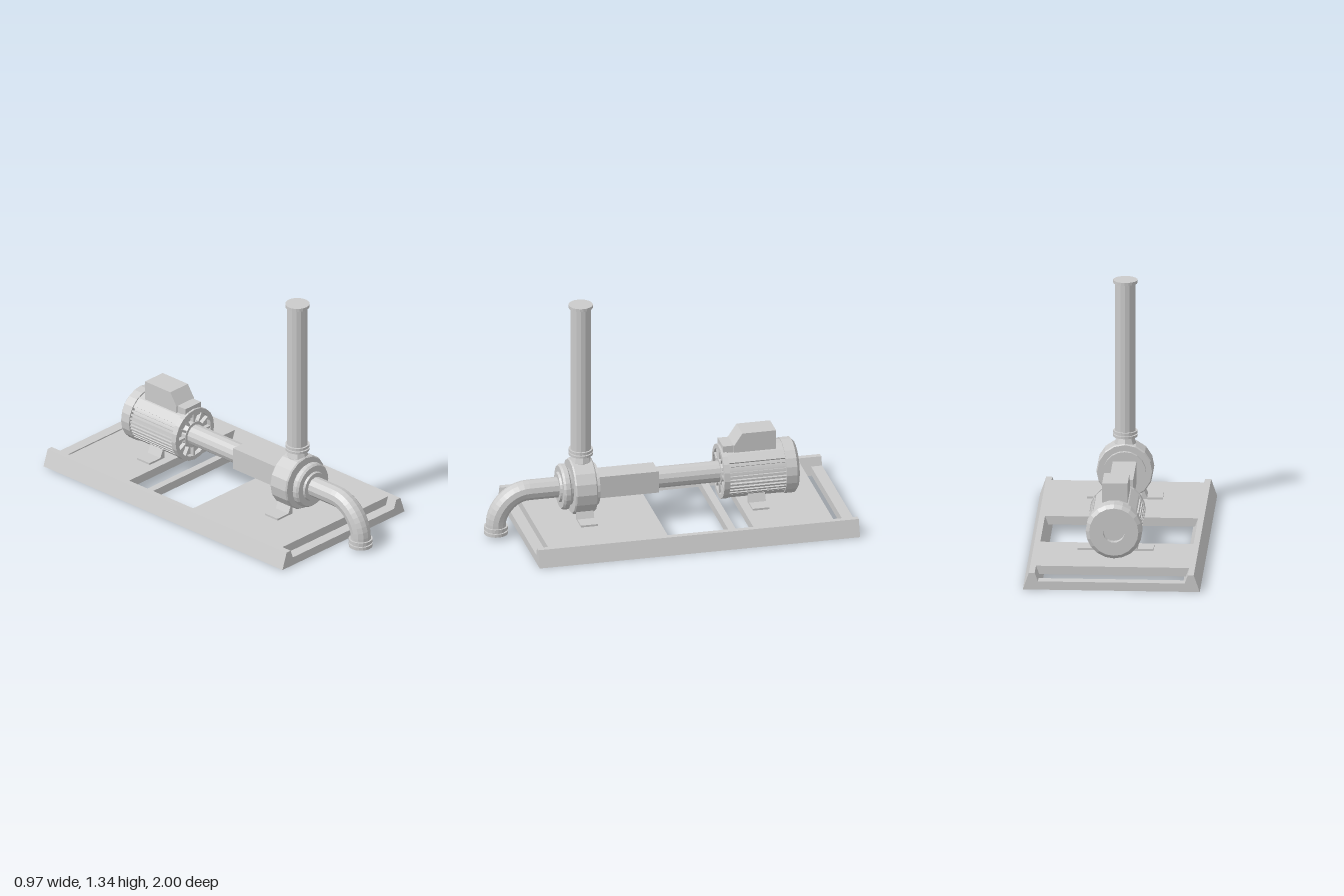
import * as THREE from 'three';

const grey = new THREE.MeshStandardMaterial({ color: 0xcccccc, flatShading: true, side: THREE.DoubleSide });
const AXIS = 0.257; // height of the pump and motor axis
const PUMP_Z = 0.457; // riser position

export function createModel() {
  const root = new THREE.Group();

  const add = (name, geometry, parent = root) => {
    const mesh = new THREE.Mesh(geometry, grey);
    mesh.name = name;
    parent.add(mesh);
    return mesh;
  };
  const group = (name) => {
    const g = new THREE.Group();
    g.name = name;
    root.add(g);
    return g;
  };
  // box given by its limits
  const box = (name, x0, x1, y0, y1, z0, z1, parent) =>
    add(name, new THREE.BoxGeometry(x1 - x0, y1 - y0, z1 - z0), parent)
      .position.set((x0 + x1) / 2, (y0 + y1) / 2, (z0 + z1) / 2);
  const lathe = (pts, sides) => new THREE.LatheGeometry(pts.map(([r, h]) => new THREE.Vector2(r, h)), sides);
  // turned part along z on the machine axis, points are [radius, z] from back to front
  const turnZ = (name, pts, sides, parent) =>
    add(name, lathe(pts, sides).rotateX(Math.PI / 2).translate(0, AXIS, 0), parent);
  // turned part along y, points are [radius, y] from bottom to top
  const turnY = (name, pts, z, sides, parent) => add(name, lathe(pts, sides).translate(0, 0, z), parent);
  // outline in xy, extruded from z0 to z1
  const prism = (name, pts, z0, z1, parent) =>
    add(name, new THREE.ExtrudeGeometry(new THREE.Shape(pts.map(([x, y]) => new THREE.Vector2(x, y))),
      { depth: z1 - z0, bevelEnabled: false }).translate(0, 0, z0), parent);

  // base frame: sloped rails, deck plates and low cross beams
  const base = group('baseFrame');
  for (const s of [-1, 1]) {
    prism(s > 0 ? 'leftRail' : 'rightRail',
      [[s * 0.485, 0], [s * 0.452, 0.095], [s * 0.42, 0.095], [s * 0.385, 0]], -1, 0.805, base);
  }
  const deck = [[-0.42, 0.095], [0.42, 0.095], [0.402, 0.047], [-0.402, 0.047]];
  prism('frontDeck', deck, 0.068, 0.743, base);
  prism('rearDeck', deck, -0.864, -0.414, base);
  for (const [name, z0, z1] of [['frontBeam', 0.743, 0.805], ['middleBeam', -0.34, -0.298], ['rearBeam', -1, -0.938]]) {
    prism(name, [[-0.387, 0], [0.387, 0], [0.403, 0.047], [-0.403, 0.047]], z0, z1, base);
  }

  // bent feet under pump and motor
  const feet = (name, z0, z1) => {
    for (const s of [-1, 1]) {
      const outline = [[0.09, 0.095], [0.208, 0.095], [0.208, 0.106], [0.122, 0.106], [0.102, 0.15], [0.09, 0.165]];
      prism(name, outline.map(([x, y]) => [s * x, y]), z0, z1);
    }
  };
  feet('pumpFoot', 0.41, 0.505);
  feet('motorFoot', -0.557, -0.462);

  // pump casing with rear flange and front cover
  const pump = group('pump');
  turnZ('casing', [[0, 0.395], [0.15, 0.395], [0.156, 0.402], [0.156, 0.512], [0.15, 0.52], [0, 0.52]], 16, pump);
  turnZ('rearFlange', [[0, 0.373], [0.117, 0.373], [0.117, 0.398], [0, 0.398]], 20, pump);
  turnZ('frontCover', [[0, 0.515], [0.1, 0.515], [0.105, 0.532], [0.127, 0.542], [0.127, 0.566],
    [0.118, 0.578], [0.085, 0.578], [0.08, 0.59], [0, 0.59]], 24, pump);

  // outlet neck and tall riser pipe
  const riser = group('riser');
  turnY('outletNeck', [[0, 0.34], [0.063, 0.36], [0.06, 0.405], [0.046, 0.445], [0, 0.445]], PUMP_Z, 8, riser);
  turnY('riserPipe', [[0, 0.44], [0.057, 0.44], [0.057, 1.325], [0, 1.325]], PUMP_Z, 14, riser);
  for (const [name, y, h] of [['lowerCollar', 0.442, 0.013], ['upperCollar', 0.462, 0.014], ['topCollar', 1.32, 0.017]]) {
    turnY(name, [[0, y], [0.067, y], [0.067, y + h], [0, y + h]], PUMP_Z, 20, riser);
  }

  // inlet pipe bending down in front
  const inlet = group('inlet');
  const bend = new THREE.CurvePath();
  const v = (y, z) => new THREE.Vector3(0, y, z);
  const k = 0.18, ze = 0.935;
  bend.add(new THREE.LineCurve3(v(AXIS, 0.575), v(AXIS, ze - k)));
  bend.add(new THREE.CubicBezierCurve3(v(AXIS, ze - k), v(AXIS, ze - k * 0.45), v(AXIS - k * 0.55, ze), v(AXIS - k, ze)));
  bend.add(new THREE.LineCurve3(v(AXIS - k, ze), v(0.03, ze)));
  add('inletElbow', new THREE.TubeGeometry(bend, 20, 0.057, 12), inlet);
  for (const y of [0.018, 0.045]) {
    turnY('inletCollar', [[0, y], [0.066, y], [0.066, y + 0.018], [0, y + 0.018]], ze, 20, inlet);
  }

  // bearing housing and drive shaft
  box('bearingHousing', -0.065, 0.065, 0.194, 0.32, 0.033, 0.378);
  turnZ('driveShaft', [[0, -0.35], [0.059, -0.35], [0.059, 0.036], [0, 0.036]], 14);

  // motor body with cooling slots on both flanks
  const motor = group('motor');
  const outline = [];
  const polar = (r, a) => outline.push([r * Math.cos(a), AXIS + r * Math.sin(a)]);
  const slots = 9, span = 0.68, step = (2 * span) / slots;
  for (const start of [0, Math.PI]) {
    for (let i = 0; i < slots; i++) {
      const a = start - span + i * step;
      polar(0.148, a);
      polar(0.148, a + step * 0.5);
      polar(0.13, a + step * 0.5);
      polar(0.13, a + step);
    }
    for (let i = 0; i <= 5; i++) polar(0.149, start + span + (Math.PI - 2 * span) * (i / 5) * 0.999);
  }
  prism('finnedBody', outline, -0.68, -0.345, motor);
  turnZ('fanCover', [[0, -0.71], [0.06, -0.71], [0.06, -0.745], [0.135, -0.745], [0.155, -0.728],
    [0.155, -0.668], [0, -0.668]], 20, motor);

  // spoked front end shield
  turnZ('endShieldRim', [[0.128, -0.35], [0.153, -0.35], [0.153, -0.318], [0.128, -0.318], [0.128, -0.35]], 20, motor);
  turnZ('endShieldHub', [[0, -0.35], [0.08, -0.35], [0.075, -0.318], [0, -0.318]], 20, motor);
  for (let i = 0; i < 12; i++) {
    const spoke = new THREE.BoxGeometry(0.07, 0.012, 0.026).translate(0.103, 0, 0);
    add('endShieldSpoke', spoke.rotateZ((i * Math.PI) / 6).translate(0, AXIS, -0.334), motor);
  }

  // terminal box: low pedestal and sloped cover, side profile as [-z, y]
  const terminal = (name, pts, w) => prism(name, pts, -w, w, motor).geometry.rotateY(Math.PI / 2);
  terminal('terminalPedestal', [[0.33, 0.36], [0.33, 0.43], [0.61, 0.43], [0.61, 0.36]], 0.062);
  terminal('terminalBox', [[0.39, 0.43], [0.437, 0.5], [0.627, 0.5], [0.627, 0.39], [0.39, 0.39]], 0.07);

  return root;
}
